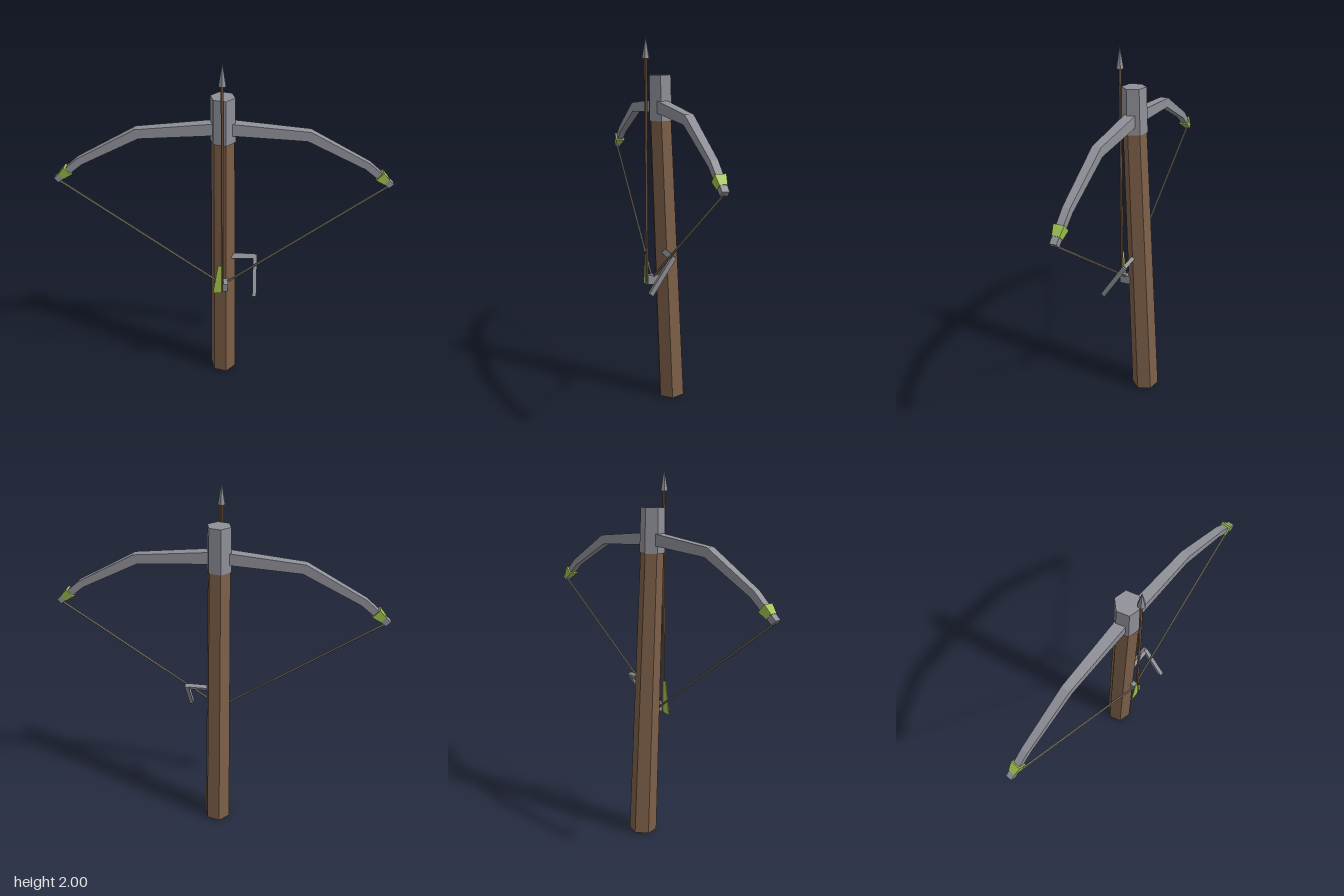
import * as THREE from 'three';

const mat = (name, color) => {
  const m = new THREE.MeshStandardMaterial({ color, flatShading: true });
  m.name = name;
  return m;
};

export function createModel() {
  const model = new THREE.Group();
  model.name = 'crossbow';
  const wood = mat('wood', 0x7d6049);
  const steel = mat('steel', 0x8f9098);
  const cord = mat('cord', 0x8c8474);
  const green = mat('green', 0x9fc24d);
  green.side = THREE.DoubleSide;

  const add = (name, geometry, material, parent = model) => {
    const mesh = new THREE.Mesh(geometry, material);
    mesh.name = name;
    parent.add(mesh);
    return mesh;
  };

  // Prism or cone running from point a to point b
  const UP = new THREE.Vector3(0, 1, 0);
  const rod = (name, a, b, ra, rb, sides, material, turn = 0) => {
    const from = new THREE.Vector3(...a), to = new THREE.Vector3(...b);
    const dir = to.clone().sub(from);
    const geo = new THREE.CylinderGeometry(rb, ra, dir.length(), sides, 1, false, turn);
    const mesh = add(name, geo, material);
    mesh.position.copy(from).add(to).multiplyScalar(0.5);
    mesh.quaternion.setFromUnitVectors(UP, dir.normalize());
    return mesh;
  };

  // Leaning six-sided stock and its metal head
  const hexTurn = THREE.MathUtils.degToRad(16);
  rod('stock', [0, 0.003, -0.058], [0, 1.6, 0.009], 0.0763, 0.061, 6, wood, hexTurn);
  rod('headCap', [0, 1.575, 0.009], [0, 1.808, 0.013], 0.067, 0.063, 6, steel, hexTurn);

  // Bow limbs: side outline, thinning in depth toward the tips
  const outline = [
    [0.03, 1.679], [0.435, 1.639], [0.743, 1.469], [0.874, 1.355],
    [0.852, 1.331], [0.72, 1.438], [0.42, 1.59], [0.03, 1.616],
  ];
  for (const s of [1, -1]) {
    const side = s > 0 ? 'left' : 'right';
    const shape = new THREE.Shape(outline.map(([x, y]) => new THREE.Vector2(s * x, y)));
    const geo = new THREE.ExtrudeGeometry(shape, { depth: 1, bevelEnabled: false });
    const p = geo.attributes.position;
    for (let i = 0; i < p.count; i++) {
      const depth = THREE.MathUtils.lerp(0.058, 0.034, Math.abs(p.getX(i)) / 0.87);
      p.setZ(i, 0.014 + (p.getZ(i) - 0.5) * depth);
    }
    geo.computeVertexNormals();
    add(side + 'Limb', geo, steel);

    // Flared binding near the limb tip
    rod(side + 'Binding', [s * 0.835, 1.367, 0.014], [s * 0.796, 1.401, 0.014],
      0.027, 0.038, 4, green, Math.PI / 4);

    // Half of the drawn string
    rod(side + 'String', [s * 0.86, 1.343, 0.016], [0, 0.712, 0.058], 0.006, 0.006, 6, cord);
  }

  // Bolt: shaft, pointed head and side vane
  rod('boltShaft', [0, 0.69, 0.088], [0, 1.9, 0.088], 0.008, 0.008, 6, wood);
  rod('boltHead', [0, 1.89, 0.088], [0, 2, 0.088], 0.021, 0.0005, 6, steel);
  const vane = new THREE.Shape([[-0.004, 0.675], [-0.004, 0.86], [-0.024, 0.86], [-0.053, 0.672]]
    .map(([x, y]) => new THREE.Vector2(x, y)));
  const vaneMesh = add('boltVane',
    new THREE.ExtrudeGeometry(vane, { depth: 0.006, bevelEnabled: false }), green);
  vaneMesh.position.z = 0.085;

  // Catch that holds the string
  const box = (name, size, pos) => {
    const mesh = add(name, new THREE.BoxGeometry(...size), steel);
    mesh.position.set(...pos);
    return mesh;
  };
  box('stringCatch', [0.028, 0.052, 0.075], [0.016, 0.71, 0.052]);

  // Winding crank on the left side
  const crankTilt = -0.58;
  box('crankAxle', [0.15, 0.029, 0.022], [0.102, 0.869, 0]).rotation.x = crankTilt;
  box('crankHandle', [0.022, 0.235, 0.026], [0.178, 0.779, 0.058]).rotation.x = crankTilt;

  return model;
}
